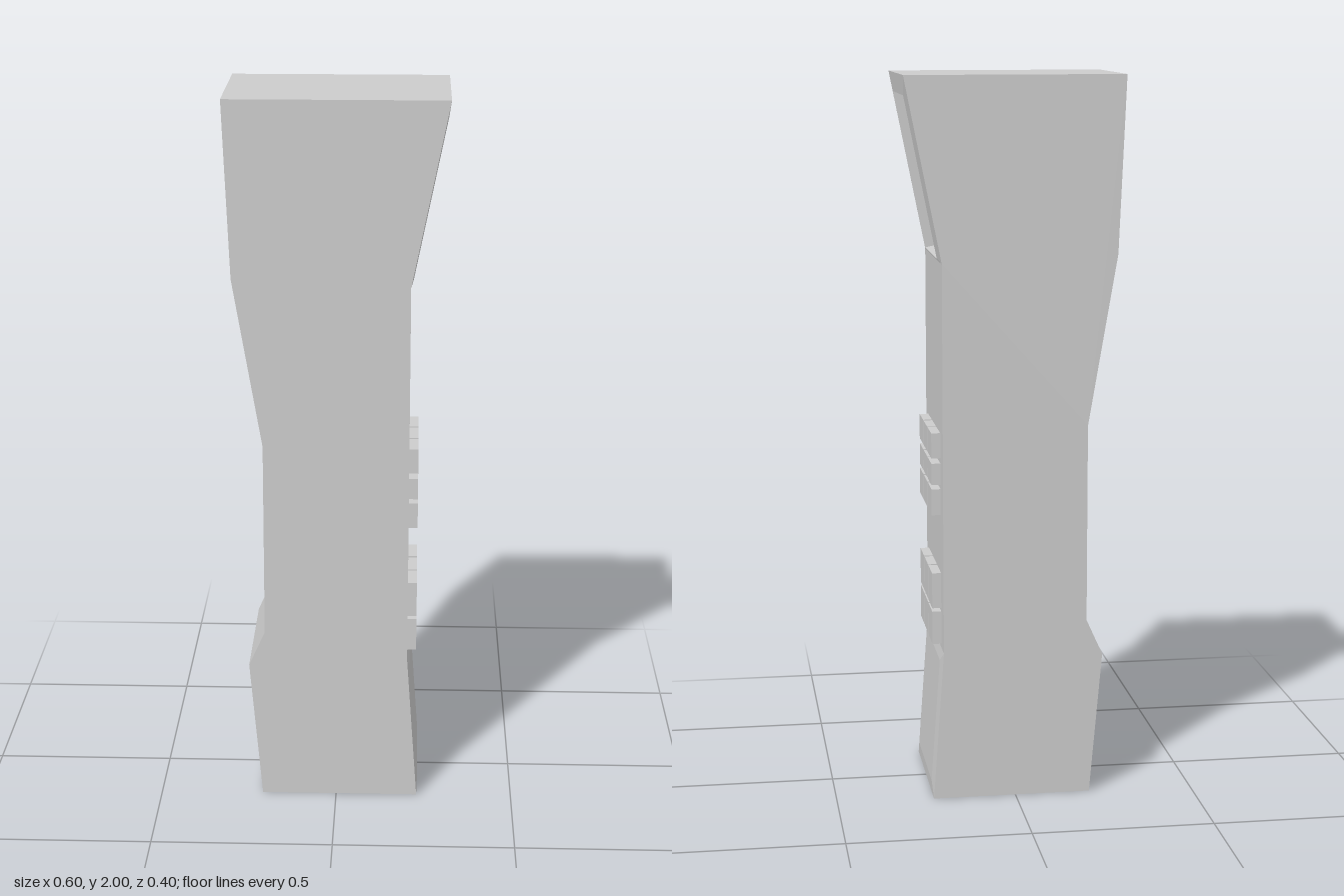
import * as THREE from 'three';

const HALF = 0.2; // half width in z

// Side outline, anticlockwise from the lower back corner
const OUTLINE = [
  [-0.21, 0], [0.23, 0], [0.2, 0.42], [0.2, 1.5], [0.3, 2],
  [-0.3, 2], [-0.28, 1.52], [-0.2, 1.05], [-0.2, 0.5], [-0.245, 0.4],
];

// Four corners on the face above outline edge a-b, inset and moved along its normal
function ring(a, b, { bottom = 0, top = 0, side = 0, out = 0 } = {}) {
  const dx = b[0] - a[0], dy = b[1] - a[1], len = Math.hypot(dx, dy);
  const tx = dx / len, ty = dy / len;
  const at = (u, z) => [a[0] + tx * u + ty * out, a[1] + ty * u - tx * out, z];
  const z = HALF - side;
  return [at(bottom, z), at(bottom, -z), at(len - top, -z), at(len - top, z)];
}

// Strips joining each ring to the next, closed by the last ring
function facesFromRings(rings) {
  const pos = [];
  const quad = (a, b, c, d) => pos.push(...a, ...b, ...c, ...a, ...c, ...d);
  for (let r = 0; r + 1 < rings.length; r++) {
    for (let i = 0; i < 4; i++) {
      const j = (i + 1) % 4;
      quad(rings[r][i], rings[r][j], rings[r + 1][j], rings[r + 1][i]);
    }
  }
  quad(...rings[rings.length - 1]);
  const geo = new THREE.BufferGeometry();
  geo.setAttribute('position', new THREE.Float32BufferAttribute(pos, 3));
  geo.computeVertexNormals();
  return geo;
}

export function createModel() {
  const model = new THREE.Group();
  model.name = 'handset';
  const grey = new THREE.MeshStandardMaterial({ color: 0xcccccc });
  grey.name = 'casing grey';

  const add = (name, geo, parent = model) => {
    const mesh = new THREE.Mesh(geo, grey);
    mesh.name = name;
    parent.add(mesh);
    return mesh;
  };

  // Flat sides of the casing
  const sideShape = new THREE.Shape(OUTLINE.map(([x, y]) => new THREE.Vector2(x, y)));
  const sideGeo = new THREE.ShapeGeometry(sideShape);
  add('casingSideFront', sideGeo).position.z = HALF;
  const mirrored = new THREE.Shape(OUTLINE.map(([x, y]) => new THREE.Vector2(-x, y)).reverse());
  const back = add('casingSideBack', new THREE.ShapeGeometry(mirrored));
  back.rotation.y = Math.PI;
  back.position.z = -HALF;

  // Faces around the outline; two of them carry raised or sunken panels
  const screen = { bottom: 0.01, top: 0.055, side: 0.058 };
  const special = {
    1: ['lowerPanel', [{ bottom: 0.04, top: 0.03, side: 0.04, out: 0.005 }]],
    3: ['screenRecess', [{ ...screen, out: 0.005 }, { ...screen, out: -0.04 }]],
  };
  OUTLINE.forEach((a, i) => {
    const b = OUTLINE[(i + 1) % OUTLINE.length];
    const [name, insets] = special[i] ?? ['casingWall', []];
    add(name, facesFromRings([ring(a, b), ...insets.map((o) => ring(a, b, o))]));
  });

  // Two keypads: [lower edge, upper edge] of each row of keys
  const keypads = {
    upperKeypad: [[0.96, 1.03], [0.885, 0.945], [0.8, 0.873]],
    lowerKeypad: [[0.535, 0.635], [0.432, 0.525]],
  };
  for (const [name, rows] of Object.entries(keypads)) {
    const pad = new THREE.Group();
    pad.name = name;
    model.add(pad);
    for (const [y0, y1] of rows) {
      for (const z of [0.105, 0.004, -0.097]) {
        const key = add('key', new THREE.BoxGeometry(0.045, y1 - y0, 0.091), pad);
        key.position.set(0.2025, (y0 + y1) / 2, z);
      }
    }
  }
  return model;
}
